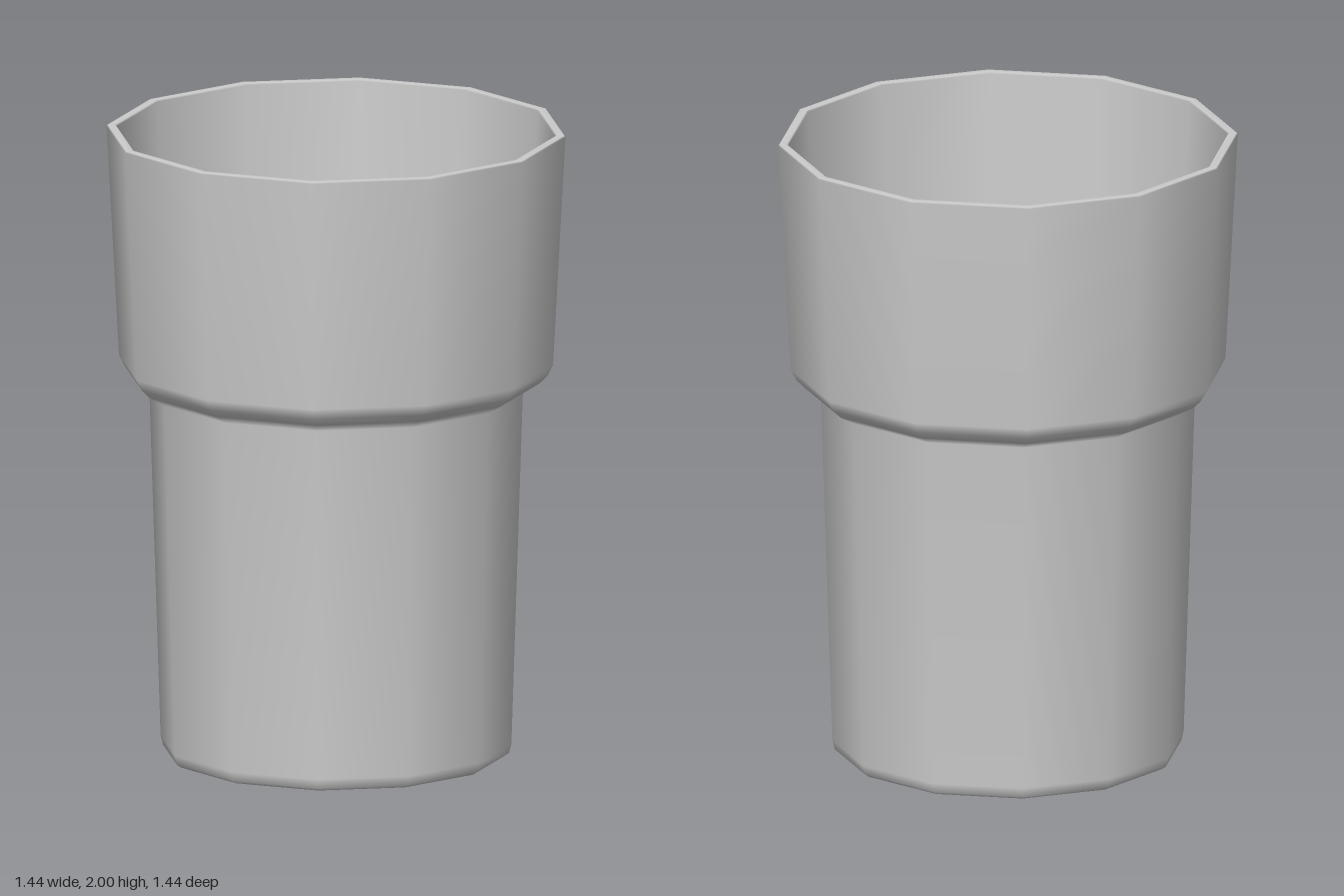
import * as THREE from 'three';

const SIDES = 12;

export function createModel() {
  const model = new THREE.Group();
  model.name = 'tumbler';

  // Closed wall section: [radius, height], underside -> outside -> rim -> inside -> floor
  const section = [
    [0, 0], [0.53, 0], [0.545, 0.01], [0.552, 0.04],      // base
    [0.588, 1.17], [0.64, 1.2], [0.665, 1.225], [0.683, 1.26], // outer wall and step
    [0.722, 1.995], [0.718, 2], [0.695, 2], [0.69, 1.995], // rim
    [0.652, 1.27], [0.635, 1.24], [0.61, 1.22], [0.56, 1.19], // inner step
    [0.522, 0.07], [0.508, 0.04], [0, 0.04],              // inner wall and floor
  ].map(([r, y]) => new THREE.Vector2(r, y));

  const cup = new THREE.Mesh(
    new THREE.LatheGeometry(section, SIDES),
    new THREE.MeshStandardMaterial({ color: 0xcccccc })
  );
  cup.name = 'cup';
  model.add(cup);
  return model;
}
